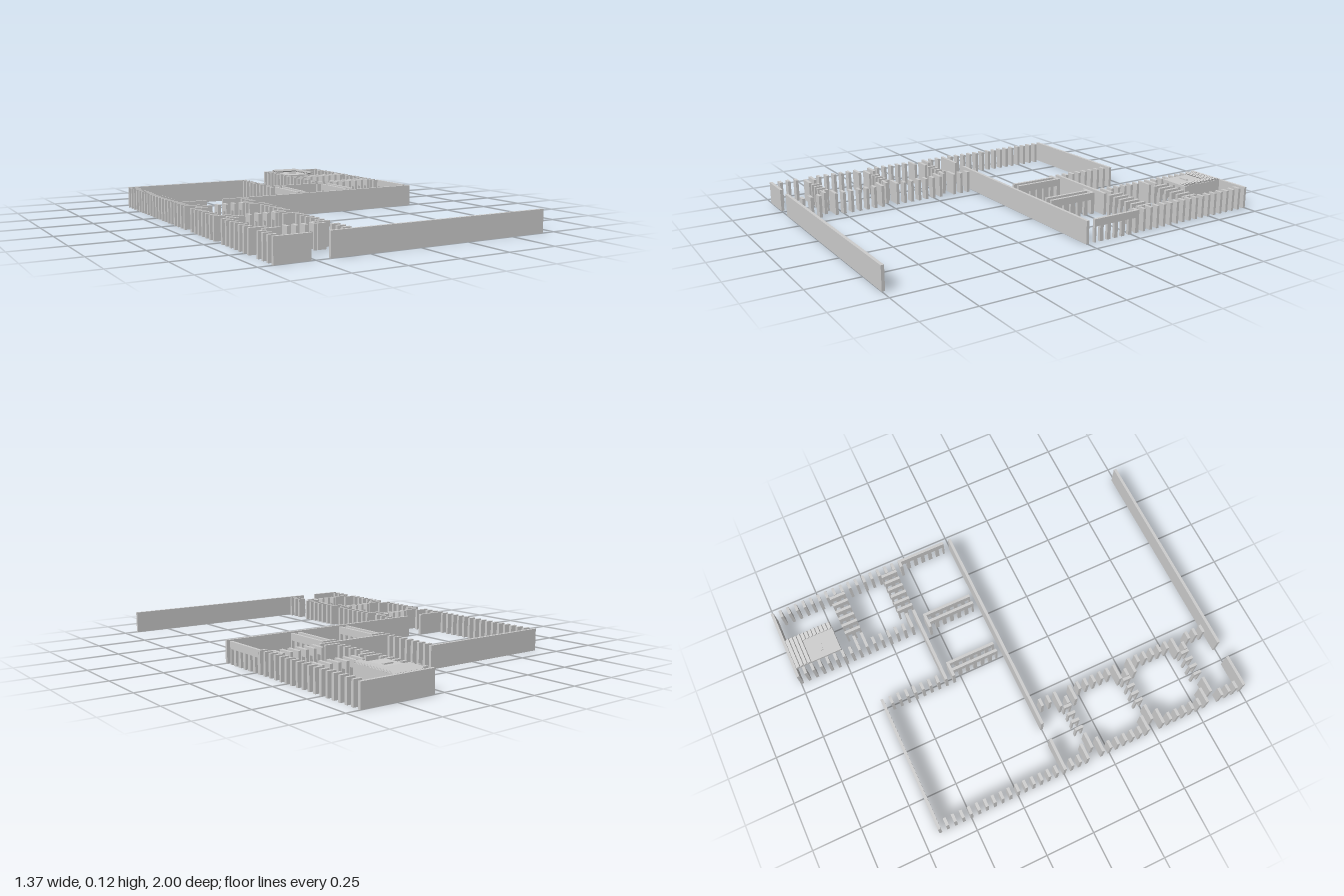
import * as THREE from 'three';

const STEP = 0.0414, W = 0.04, T = 0.0145, H = 0.11;
const mat = new THREE.MeshStandardMaterial({ color: 0xcccccc, flatShading: true });

export function createModel() {
  const root = new THREE.Group();
  root.name = 'slatMaze';

  function box(name, x0, x1, y0, y1, z0, z1) {
    const m = new THREE.Mesh(new THREE.BoxGeometry(x1 - x0, y1 - y0, z1 - z0), mat);
    m.position.set((x0 + x1) / 2, (y0 + y1) / 2, (z0 + z1) / 2);
    m.name = name;
    root.add(m);
    return m;
  }

  // Upright slab across x, on row k of the grid
  const slab = (name, x0, x1, k) => box(name, x0, x1, 0, H, k * STEP - T / 2, k * STEP + T / 2);
  const row = (name, x0, from, to) => {
    for (let k = from; k <= to; k++) slab(name, x0, x0 + W, k);
  };

  // Thin panel along z with open arches at its foot, n arches long
  function arcade(name, x, zEnd, n) {
    const s = new THREE.Shape();
    const leg = 0.01;
    s.moveTo(0, 0);
    for (let i = 0; i < n; i++) {
      const a = i * STEP + leg, b = (i + 1) * STEP - leg;
      s.lineTo(a, 0); s.lineTo(a, 0.075); s.lineTo(b, 0.075); s.lineTo(b, 0);
    }
    s.lineTo(n * STEP, 0); s.lineTo(n * STEP, H); s.lineTo(0, H); s.closePath();
    const g = new THREE.ExtrudeGeometry(s, { depth: T, bevelEnabled: false });
    g.rotateY(Math.PI / 2);
    g.translate(x - T / 2, 0, zEnd);
    const m = new THREE.Mesh(g, mat);
    m.name = name;
    root.add(m);
  }

  // Long walls
  for (const k of [0, 24]) {
    slab('wallRight', -0.685, -0.52, k);
    slab('wallLeft', -0.435, 0.682, k);
  }
  slab('roomBackWall', -0.685, 0.018, -16);
  slab('innerWall', -0.023, 0.39, -8);
  slab('rearWall', 0.305, 0.682, -24);

  // Slat rows of the rear rooms
  row('outerSlat', -0.685, -15, -1);
  row('roomSlat', -0.023, -15, -9);
  row('rearRoomSlat', 0.305, -23, -9);
  row('rearOuterSlat', 0.642, -23, -8);
  for (const k of [-16, -15, -9]) slab('doorJamb', 0.345, 0.39, k);

  // Front corridor with three cross screens
  for (let k = 1; k <= 23; k++) {
    if ([4, 12, 20].includes(k)) {
      slab('screenJamb', -0.644, -0.563, k);
      slab('screenJamb', -0.394, -0.354, k);
      continue;
    }
    const wide = [3, 5, 11, 13, 19].includes(k) ? W : 0;
    slab('corridorSlat', -0.685, -0.645 + wide, k);
    slab('corridorSlat', -0.354 - wide, -0.313, k);
  }
  for (const k of [4, 12, 20]) {
    for (let i = 0; i < 4; i++) arcade('screenPost', -0.529 + i * STEP, k * STEP + T / 2, 1);
  }

  // Cross screens of the rear room
  for (const k of [-15, -8]) {
    for (let i = 0; i < 6; i++) arcade('rearScreenPost', 0.424 + i * 0.0416, k * STEP + T / 2, 2);
  }

  // Arcaded partitions of the middle rooms
  for (const x of [0.01, 0.051, 0.299, 0.341, 0.675]) arcade('partition', x, -0.038, 6);
  slab('partitionHead', -0.023, 0.058, -7);
  slab('partitionHead', 0.267, 0.348, -7);
  slab('partitionHead', 0.642, 0.682, -7);

  // Raised deck with its side panel, cap and an L of tilted slats
  box('deck', 0.35, 0.512, 0.098, 0.11, -0.985, -0.745);
  box('deckSide', 0.498, 0.512, 0, 0.1, -0.985, -0.745);
  box('deckCap', 0.385, 0.435, 0.11, 0.116, -0.84, -0.825);
  for (let i = 0; i < 12; i++) {
    const z = -0.974 + i * 0.0198;
    const m = box('deckSlat', i < 4 ? 0.35 : 0.475, 0.512, 0.108, 0.114, z - 0.011, z + 0.011);
    m.position.y = 0.114;
    m.rotation.x = -0.6;
  }
  return root;
}
